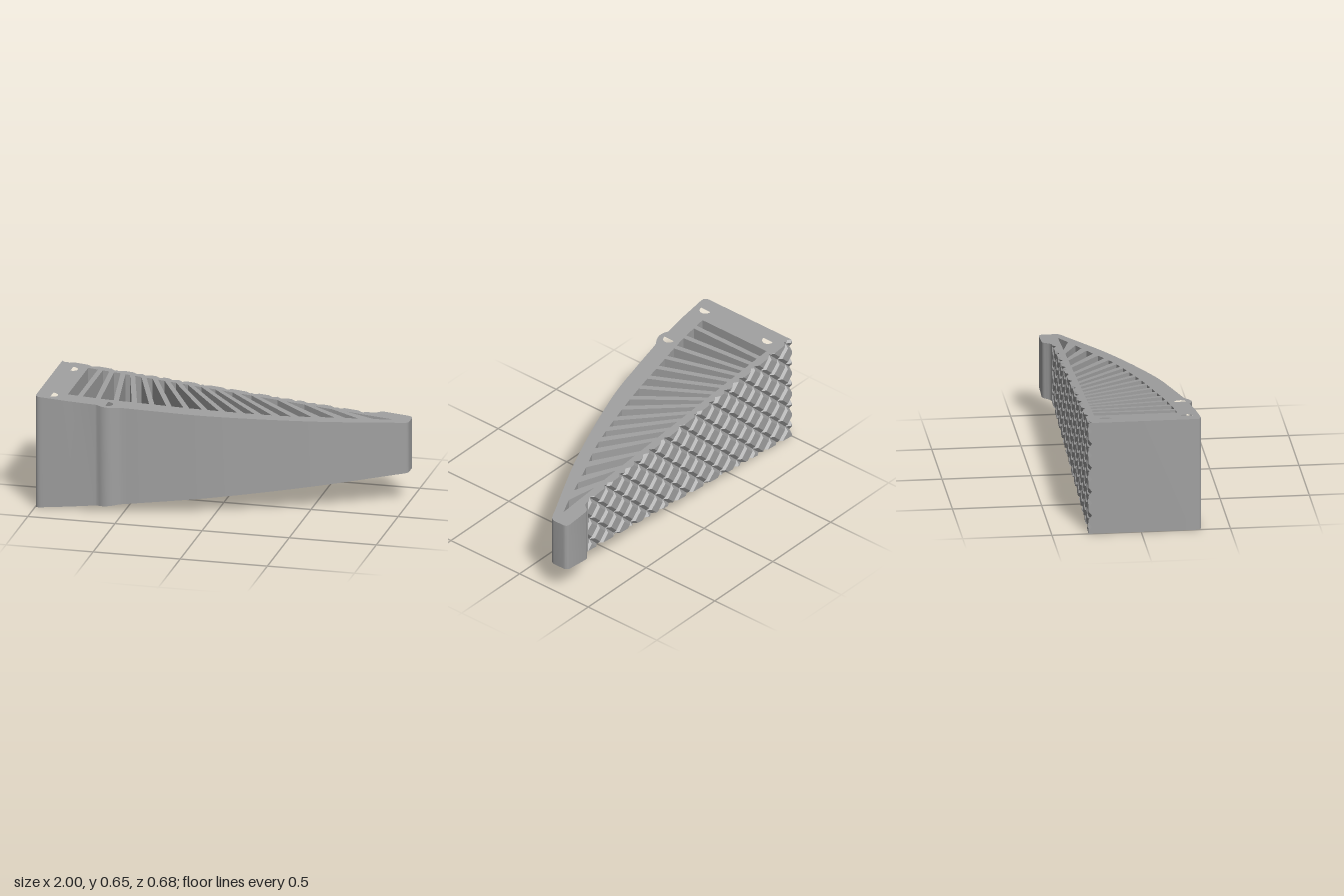
import * as THREE from 'three';
import { toCreasedNormals } from 'three/addons/utils/BufferGeometryUtils.js';

const MID = 0.327;                                   // height of the centre plane
const half = (x) => 0.327 - 0.09 * (x + 1);          // half height, tapering along x
const BACK = -0.295, GROOVE = -0.276, KNURL_END = 0.76;

// Spline through [x, z] points
const spline = (pts, n) =>
  new THREE.SplineCurve(pts.map(([x, z]) => new THREE.Vector2(x, z))).getPoints(n).map((p) => [p.x, p.y]);

// Inner edge of the curved front wall
const INNER = spline([[-0.86, 0.223], [-0.63, 0.2], [-0.4, 0.16], [-0.08, 0.1], [0.31, 0],
  [0.555, -0.1], [0.81, -0.2], [0.91, -0.245]], 60);
function innerZ(x) {
  for (let i = 1; i < INNER.length; i++) {
    const [x0, z0] = INNER[i - 1], [x1, z1] = INNER[i];
    if (x <= x1) return z0 + (z1 - z0) * (x - x0) / (x1 - x0);
  }
  return -0.245;
}

// Plan points are [x, z]; the extrusion is turned upright, so z is negated
const toVec = (pts) => pts.map(([x, z]) => new THREE.Vector2(x, -z));

// Quarter-round corner from a to b around control point c
const corner = (a, c, b) => new THREE.QuadraticBezierCurve(
  new THREE.Vector2(...a), new THREE.Vector2(...c), new THREE.Vector2(...b)).getPoints(6).map((p) => [p.x, p.y]);

function bodyOutline() {
  return [
    [-1, GROOVE], [KNURL_END, GROOVE], [KNURL_END, BACK],
    ...corner([0.765, BACK], [0.79, BACK], [0.805, -0.32]),
    ...corner([0.808, -0.323], [0.82, -0.345], [0.84, -0.345]),
    ...corner([0.97, -0.345], [1, -0.345], [1, -0.315]),
    ...corner([1, -0.25], [1, -0.225], [0.95, -0.207]),
    ...spline([[0.93, -0.198], [0.73, -0.1], [0.53, -0.008], [0.25, 0.1], [-0.06, 0.2], [-0.3, 0.252], [-0.51, 0.292]], 40),
    ...corner([-0.53, 0.298], [-0.595, 0.352], [-0.65, 0.312]),
    [-0.66, 0.311], [-0.8, 0.328], [-0.95, 0.338],
    ...corner([-0.965, 0.339], [-1, 0.341], [-1, 0.31]),
  ];
}

// Slanted slots left between the ribs
function slots() {
  const ribs = [[-0.77, -0.77], [-0.705, -0.67], [-0.64, -0.57], [-0.585, -0.47], [-0.52, -0.375],
    [-0.455, -0.28], [-0.385, -0.185], [-0.32, -0.085], [-0.25, 0.01], [-0.17, 0.11], [-0.09, 0.205],
    [0.01, 0.3], [0.12, 0.4], [0.27, 0.51], [0.43, 0.635], [0.6, 0.77]].map(([t, b]) => {
    const depth = innerZ(b) + 0.245;
    return { t, b, w: 0.014 * Math.hypot(depth, b - t) / depth };
  });
  const all = [{ t: -0.84, b: -0.84, w: 0 }, ...ribs, { t: 0.91, b: 0.9, w: 0 }];
  return all.slice(1).map((r, i) => {
    const l = all[i], x0 = l.b + l.w, x1 = r.b - r.w;
    const pts = [[r.t - r.w, -0.245], [l.t + l.w, -0.245]];
    for (let k = 0; k <= 4; k++) {
      const x = x0 + (x1 - x0) * k / 4;
      pts.push([x, innerZ(x)]);
    }
    return pts;
  });
}

// D-shaped pin hole, flat towards -x
function pinHole(x, z) {
  const pts = [];
  for (let i = 0; i <= 12; i++) {
    const a = -Math.PI / 2 + Math.PI * i / 12;
    pts.push([x + 0.034 * Math.cos(a), z + 0.034 * Math.sin(a)]);
  }
  return pts;
}

function bodyGeometry() {
  const shape = new THREE.Shape(toVec(bodyOutline()));
  const pins = [pinHole(-0.92, -0.19), pinHole(-0.92, 0.265), pinHole(-0.605, 0.265)];
  for (const h of [...slots(), ...pins]) shape.holes.push(new THREE.Path(toVec(h)));
  const geo = new THREE.ExtrudeGeometry(shape, { depth: 2, bevelEnabled: false });
  geo.rotateX(-Math.PI / 2).translate(0, -1, 0);
  // Taper the height towards the tip
  const p = geo.attributes.position;
  for (let i = 0; i < p.count; i++) p.setY(i, MID + p.getY(i) * half(p.getX(i)));
  return toCreasedNormals(geo, 0.5);
}

// Diamond grip: bevelled pads between crossing V grooves, clipped to the tapered back
function gripGeometry() {
  const planes = [
    (p) => p[0] + 1, (p) => KNURL_END - p[0],
    (p) => MID + half(p[0]) - p[1], (p) => p[1] - MID + half(p[0]),
  ];
  const clip = (poly, f) => {
    const out = [];
    poly.forEach((a, i) => {
      const b = poly[(i + 1) % poly.length], fa = f(a), fb = f(b);
      if (fa >= 0) out.push(a);
      if ((fa > 0 && fb < 0) || (fa < 0 && fb > 0)) out.push(a.map((v, k) => v + (b[k] - v) * fa / (fa - fb)));
    });
    return out;
  };
  const pos = [];
  const fan = (poly) => {
    for (let i = 2; i < poly.length; i++) pos.push(...poly[0], ...poly[i - 1], ...poly[i]);
  };
  const addFace = (face) => {
    const poly = planes.reduce(clip, face);
    if (poly.length < 3) return;
    fan(poly);
    // Close the rim down to the groove floor
    poly.forEach((a, i) => {
      const b = poly[(i + 1) % poly.length];
      if (planes.some((f) => Math.abs(f(a)) < 1e-6 && Math.abs(f(b)) < 1e-6))
        fan([b, a, [a[0], a[1], GROOVE], [b[0], b[1], GROOVE]]);
    });
  };
  const pitch = 0.141, inset = 0.025;
  const ring = (s, t, d, z) => [[d, d], [d, pitch - d], [pitch - d, pitch - d], [pitch - d, d]]
    .map(([ds, dt]) => [(s + ds + t + dt) / 2, (s + ds - t - dt) / 2, z]).reverse();
  for (let i = -13; i < 8; i++) for (let j = -13; j < 8; j++) {
    const s = 0.5175 + i * pitch, t = -0.053 + j * pitch;
    let low = ring(s, t, 0, GROOVE), top = ring(s, t, inset, BACK);
    // Keep the pads facing -z
    const [a, b, c] = top;
    if ((b[0] - a[0]) * (c[1] - a[1]) - (b[1] - a[1]) * (c[0] - a[0]) > 0) {
      low.reverse();
      top.reverse();
    }
    addFace(top);
    for (let k = 0; k < 4; k++) addFace([low[k], low[(k + 1) % 4], top[(k + 1) % 4], top[k]]);
  }
  const geo = new THREE.BufferGeometry();
  geo.setAttribute('position', new THREE.Float32BufferAttribute(pos, 3));
  geo.computeVertexNormals();
  return geo;
}

export function createModel() {
  const grey = new THREE.MeshStandardMaterial({ color: 0xa0a0a0 });
  grey.name = 'grey';
  const group = new THREE.Group();
  group.name = 'ribbedWedge';
  const add = (name, geo) => {
    const mesh = new THREE.Mesh(geo, grey);
    mesh.name = name;
    group.add(mesh);
  };
  add('ribbedBody', bodyGeometry());
  add('diamondGrip', gripGeometry());
  return group;
}
